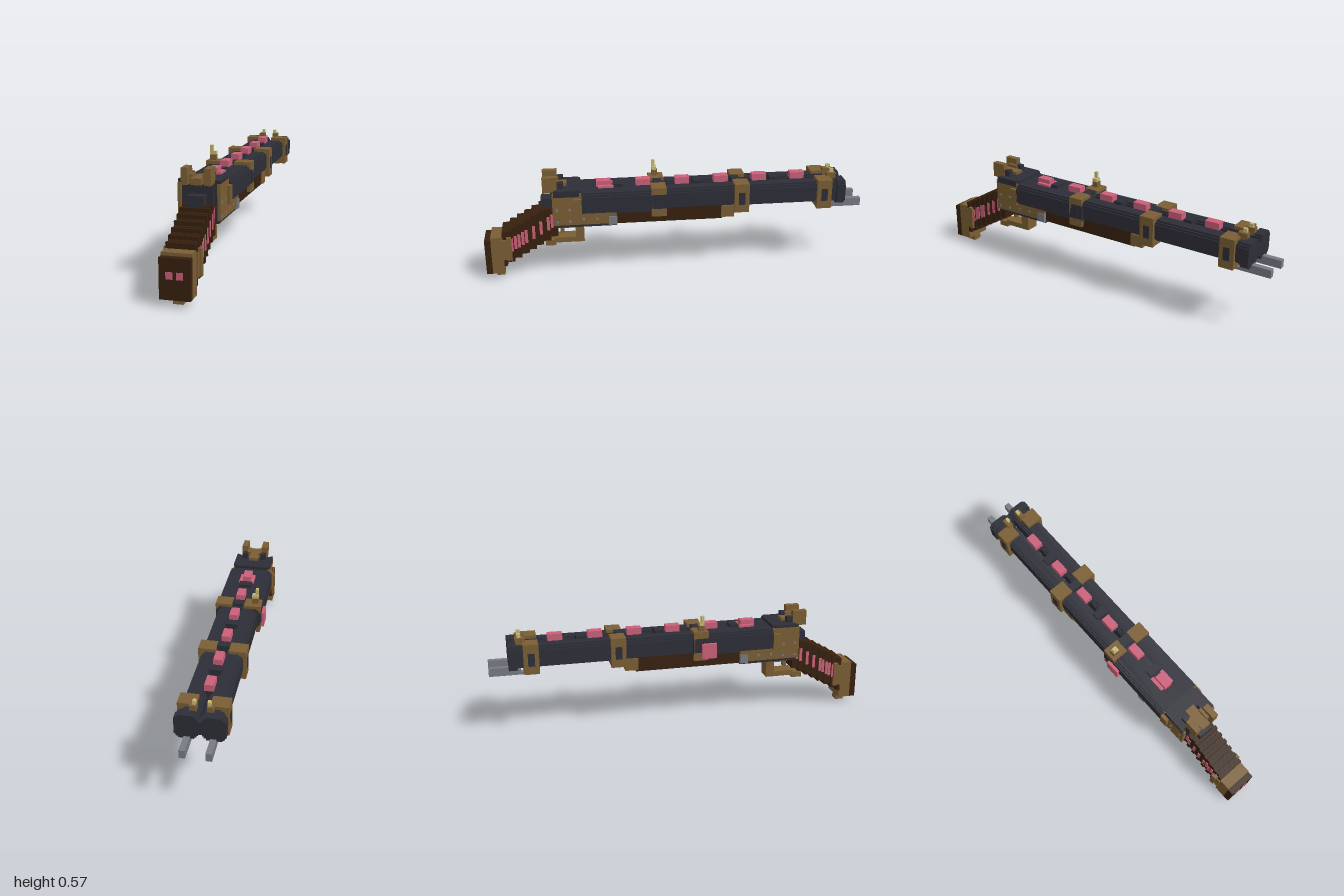
import * as THREE from 'three';

const CX = 0.008; // the mirror plane of the body

export function createModel() {
  const root = new THREE.Group();
  root.name = 'blockyDoubleBarrel';
  const material = (name, color) => {
    const m = new THREE.MeshStandardMaterial({ color });
    m.name = name;
    return m;
  };
  const steel = material('dark steel', 0x2d2e37);
  const bronze = material('bronze', 0x7b5e34);
  const wood = material('dark wood', 0x37210f);
  const pink = material('pink crystal', 0xcb6079);
  const silver = material('silver', 0x787b84);
  const brass = material('brass', 0xc8ba76);

  // Box from its limits
  const box = (name, mat, x0, x1, y0, y1, z0, z1) => {
    const mesh = new THREE.Mesh(new THREE.BoxGeometry(x1 - x0, y1 - y0, z1 - z0), mat);
    mesh.position.set((x0 + x1) / 2, (y0 + y1) / 2, (z0 + z1) / 2);
    mesh.name = name;
    root.add(mesh);
  };
  // Box centred on the mirror plane, given its half width
  const mid = (name, mat, w, ...r) => box(name, mat, CX - w, CX + w, ...r);
  // Two boxes at mirrored distances from the plane
  const pair = (name, mat, a, b, ...r) => {
    box(name + 'Left', mat, CX + a, CX + b, ...r);
    box(name + 'Right', mat, CX - b, CX - a, ...r);
  };

  // Twin barrels with stepped round sections, thicker at breech and muzzle
  const barrel = (name, inner, outer, y0, y1, z0, z1) => {
    pair(name + 'Core', steel, inner + 0.018, outer - 0.018, y0, y1, z0, z1);
    pair(name + 'Middle', steel, inner + 0.008, outer - 0.008, y0 + 0.009, y1 - 0.009, z0, z1);
    pair(name + 'Side', steel, inner, outer, y0 + 0.02, y1 - 0.02, z0, z1);
  };
  barrel('barrel', 0.009, 0.103, 0.365, 0.477, -0.86, 0.5);
  barrel('breech', 0.009, 0.119, 0.36, 0.477, 0.05, 0.488);
  barrel('muzzle', 0.009, 0.119, 0.358, 0.484, -0.9, -0.855);
  mid('muzzleBridge', steel, 0.02, 0.385, 0.455, -0.9, -0.86);
  mid('breechRib', steel, 0.03, 0.39, 0.477, 0.05, 0.5);

  // Crystals and steel lugs along the top rib
  for (let i = 0; i < 6; i++) {
    const z = 0.37 - i * 0.2055;
    mid('ribCrystal', pink, 0.022, 0.475, 0.51, z - 0.038, z + 0.038);
    mid('crystalSeat', steel, 0.018, 0.44, 0.476, z - 0.036, z + 0.036);
    if (i < 5) mid('ribLug', steel, 0.032, 0.45, 0.493, z - 0.1, z - 0.056);
  }
  pair('rearCrystalWing', pink, 0.022, 0.04, 0.475, 0.488, 0.32, 0.4);

  // Bronze bands with a dark slot on each side
  for (const z of [0.09, -0.345, -0.787]) {
    pair('bandSide', bronze, 0.1, 0.119, 0.337, 0.493, z - 0.039, z + 0.039);
    pair('bandTop', bronze, 0.032, 0.101, 0.465, 0.493, z - 0.039, z + 0.039);
    pair('bandSlot', steel, 0.1185, 0.121, 0.38, 0.447, z - 0.017, z + 0.017);
  }

  // Lever and side crystal on the rear band
  box('leverBase', bronze, -0.096, -0.063, 0.49, 0.523, 0.08, 0.11);
  box('leverFoot', brass, -0.096, -0.063, 0.523, 0.541, 0.085, 0.11);
  box('leverPost', brass, -0.096, -0.08, 0.541, 0.573, 0.093, 0.11);
  box('sideCrystal', pink, -0.127, -0.108, 0.35, 0.43, 0.092, 0.17);

  // Front sight
  pair('sightBase', bronze, 0.026, 0.055, 0.47, 0.51, -0.86, -0.81);
  pair('sightPost', brass, 0.026, 0.042, 0.51, 0.53, -0.85, -0.83);

  // Silver prongs under the muzzle
  pair('prong', silver, 0.046, 0.075, 0.326, 0.368, -1, -0.84);
  pair('prongRail', silver, 0.046, 0.075, 0.326, 0.34, -0.84, -0.79);
  mid('prongMount', bronze, 0.1, 0.337, 0.368, -0.826, -0.75);

  // Forestock and its bronze end cap
  mid('forestock', wood, 0.087, 0.303, 0.372, -0.25, 0.34);
  mid('forestockKeel', wood, 0.07, 0.288, 0.304, -0.25, 0.31);
  mid('forestockCap', bronze, 0.095, 0.305, 0.368, -0.31, -0.24);
  mid('forestockTip', bronze, 0.103, 0.337, 0.372, -0.383, -0.31);

  // Receiver
  mid('receiver', steel, 0.095, 0.3, 0.493, 0.488, 0.62);
  mid('receiverFloor', steel, 0.092, 0.288, 0.365, 0.31, 0.63);
  mid('receiverBack', steel, 0.0715, 0.37, 0.48, 0.6, 0.645);
  mid('receiverKnob', steel, 0.039, 0.366, 0.43, 0.62, 0.697);
  pair('receiverEar', steel, 0.088, 0.1035, 0.46, 0.493, 0.5, 0.63);
  pair('sidePlate', bronze, 0.088, 0.1035, 0.305, 0.479, 0.488, 0.638);
  pair('sidePlateArm', bronze, 0.088, 0.1035, 0.305, 0.37, 0.31, 0.49);
  pair('sidePlateStep', bronze, 0.088, 0.121, 0.36, 0.45, 0.488, 0.53);
  pair('sidePin', silver, 0.09, 0.108, 0.298, 0.345, 0.308, 0.352);
  for (const [z, y] of [[0.615, 0.39], [0.615, 0.325], [0.55, 0.39], [0.55, 0.325], [0.48, 0.335], [0.41, 0.335]])
    pair('rivet', silver, 0.1, z > 0.5 && z < 0.53 ? 0.122 : 0.106, y - 0.006, y + 0.006, z - 0.006, z + 0.006);

  // Hammers and the rear sight between them
  pair('hammer', bronze, 0.04, 0.0715, 0.477, 0.557, 0.61, 0.685);
  pair('hammerSpur', bronze, 0.024, 0.041, 0.48, 0.525, 0.6, 0.66);
  mid('rearSight', bronze, 0.026, 0.478, 0.509, 0.56, 0.685);
  pair('firingPin', steel, 0.036, 0.066, 0.49, 0.525, 0.578, 0.61);

  // Stepped wooden grip with crystal inlays
  const slabs = 15, step = 0.0195;
  for (let i = 0; i < slabs; i++) {
    const z = 0.615 + i * step, low = 0.232 - 0.0112 * i, wide = i % 2 === 0;
    const inset = wide ? 0 : 0.008;
    const top = Math.min(0.385, low + 0.19 - inset);
    mid('gripSlab', wood, wide ? 0.0715 : 0.066, low + inset, top, z, z + step);
    if (i < 13 && i !== 5 && (wide || i > 8 || i === 1))
      pair('gripInlay', pink, wide ? 0.0705 : 0.065, wide ? 0.075 : 0.07, low + 0.06, low + 0.133, z + 0.002, z + step - 0.002);
  }

  // Butt with bronze collar, wings, foot and crystals
  mid('buttCollar', bronze, 0.0715, 0.033, 0.238, 0.905, 0.968);
  pair('buttWing', bronze, 0.066, 0.0875, 0.112, 0.24, 0.86, 0.885);
  pair('buttWingArm', bronze, 0.066, 0.078, 0.112, 0.225, 0.885, 0.91);
  mid('buttPlate', wood, 0.0715, 0.033, 0.223, 0.967, 1);
  mid('buttFoot', bronze, 0.024, 0, 0.036, 0.91, 0.952);
  pair('buttCrystal', pink, 0.008, 0.04, 0.127, 0.16, 0.995, 1.002);

  // Trigger guard and trigger
  mid('guardFront', bronze, 0.039, 0.18, 0.29, 0.48, 0.525);
  mid('guardBottom', bronze, 0.039, 0.18, 0.208, 0.52, 0.635);
  mid('guardTail', bronze, 0.039, 0.165, 0.195, 0.63, 0.685);
  mid('guardTop', bronze, 0.039, 0.262, 0.292, 0.52, 0.6);
  mid('trigger', bronze, 0.012, 0.225, 0.265, 0.585, 0.605);

  return root;
}
